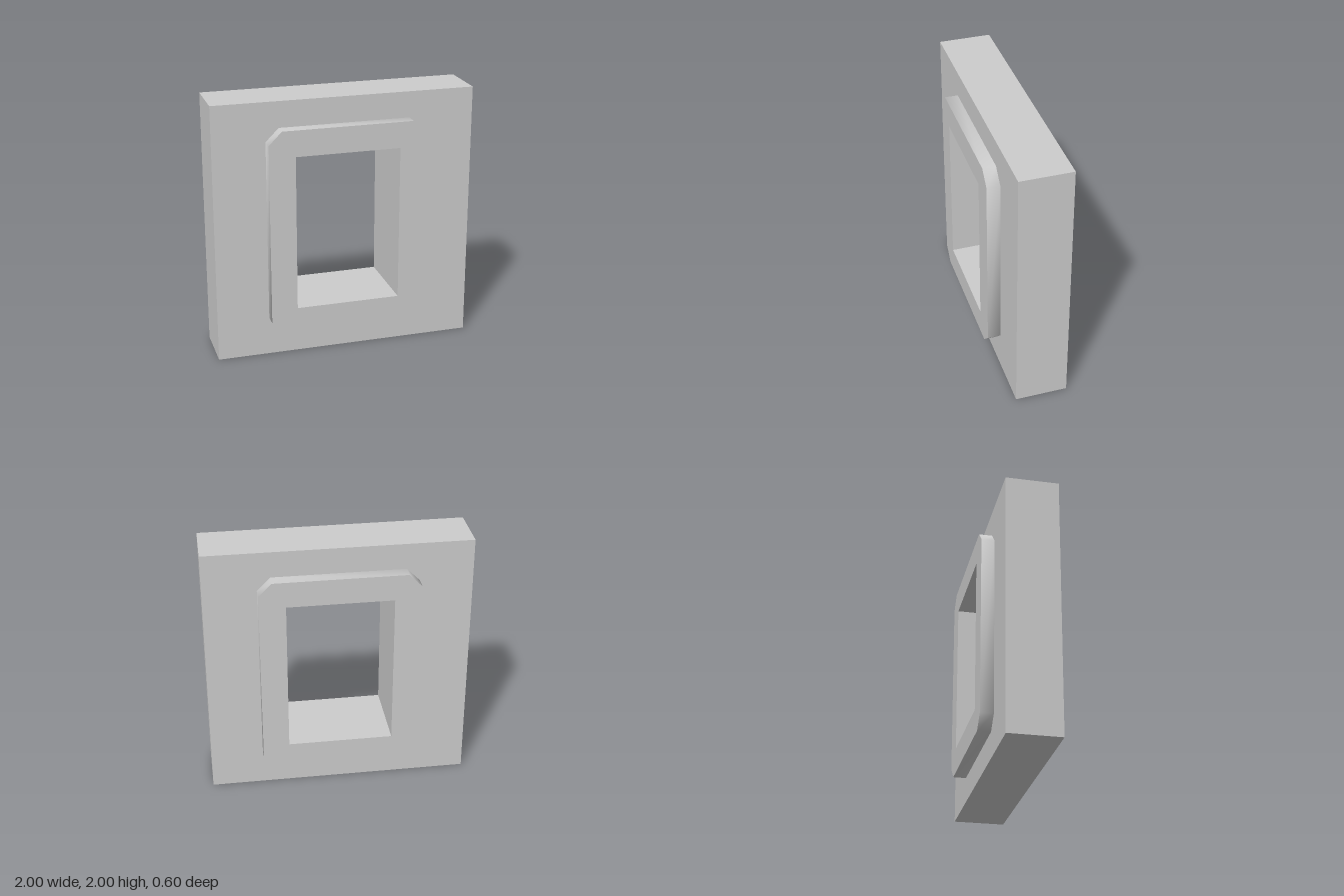
import * as THREE from 'three';
import { toCreasedNormals } from 'three/addons/utils/BufferGeometryUtils.js';

// Upright rectangle centred on the origin, with optional cut corners
function outline(Type, w, h, c = 0) {
  const x = w / 2, y = h / 2;
  const points = c > 0
    ? [[x - c, -y], [x, -y + c], [x, y - c], [x - c, y], [-x + c, y], [-x, y - c], [-x, -y + c], [-x + c, -y]]
    : [[x, -y], [x, y], [-x, y], [-x, -y]];
  return new Type(points.map(([px, py]) => new THREE.Vector2(px, py)));
}

// Plate pierced by the window opening
function piercedPlate(w, h, corner, depth) {
  const shape = outline(THREE.Shape, w, h, corner);
  shape.holes.push(outline(THREE.Path, 0.8, 1.2));
  const geometry = new THREE.ExtrudeGeometry(shape, { depth, bevelEnabled: false });
  geometry.translate(0, 1, -depth / 2);
  // Soft shading around the cut corners, sharp edges elsewhere
  return toCreasedNormals(geometry, THREE.MathUtils.degToRad(50));
}

export function createModel() {
  const model = new THREE.Group();
  model.name = 'windowWall';
  const stone = new THREE.MeshStandardMaterial({ color: 0xcccccc });
  stone.name = 'light grey';

  // Square wall block
  const wall = new THREE.Mesh(piercedPlate(2, 2, 0, 0.4), stone);
  wall.name = 'wall';
  model.add(wall);

  // Raised surround on both faces
  const trim = piercedPlate(1.2, 1.6, 0.1, 0.1);
  for (const [name, z] of [['frontSurround', 0.25], ['backSurround', -0.25]]) {
    const surround = new THREE.Mesh(trim, stone);
    surround.name = name;
    surround.position.z = z;
    model.add(surround);
  }
  return model;
}
